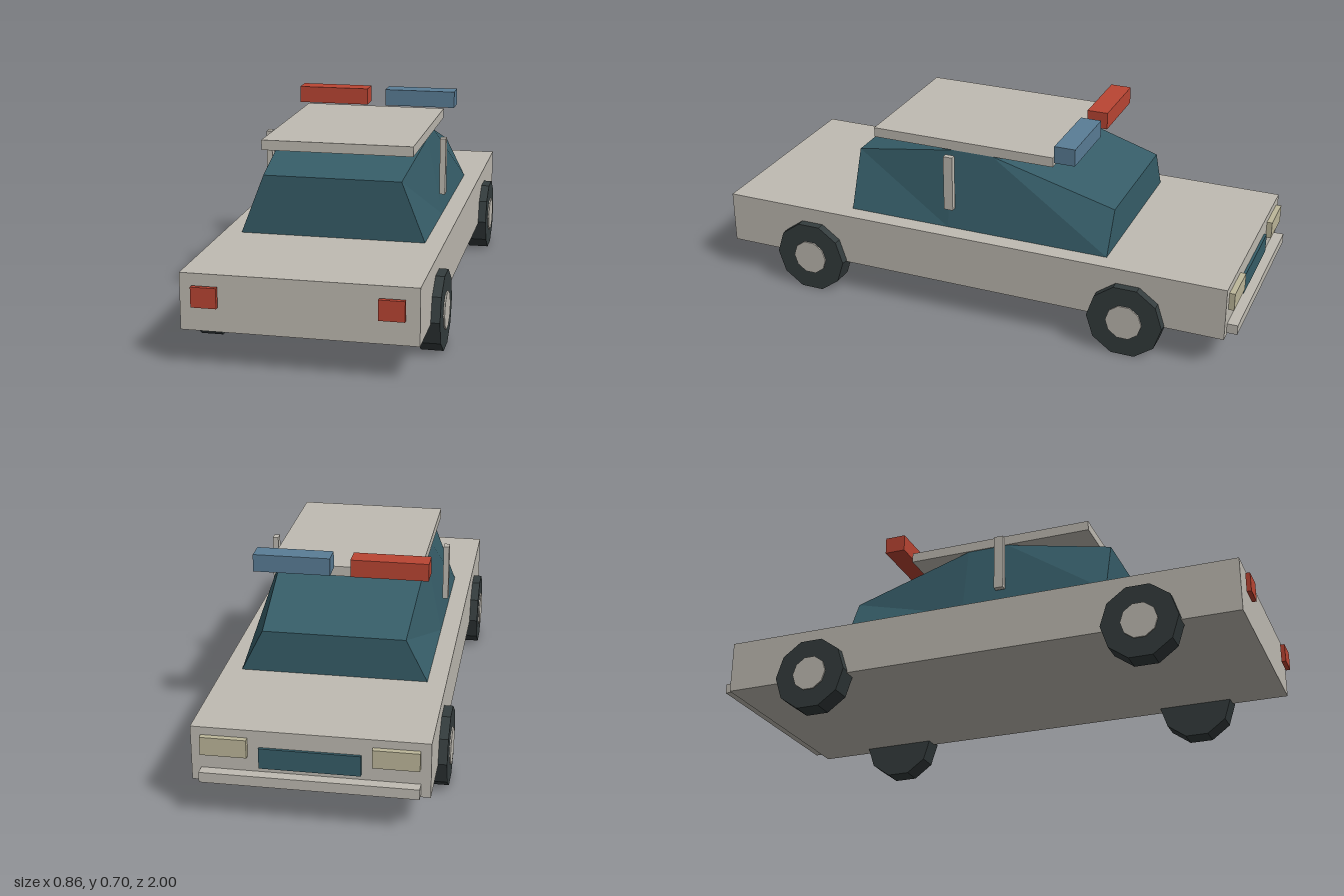
import * as THREE from 'three';

function material(name, color) {
  const m = new THREE.MeshStandardMaterial({ color });
  m.name = name;
  return m;
}

// Loft of four-point sections [z, bottom half width, top half width, top y]
function loftGeometry(sections, baseY) {
  const rings = sections.map(([z, b, t, y]) => [[-b, baseY, z], [-t, y, z], [t, y, z], [b, baseY, z]]);
  const positions = [];
  const quad = (a, b, c, d) => positions.push(...a, ...b, ...c, ...a, ...c, ...d);
  for (let i = 0; i < rings.length - 1; i++) {
    for (let k = 0; k < 4; k++) {
      const n = (k + 1) % 4;
      quad(rings[i][k], rings[i][n], rings[i + 1][n], rings[i + 1][k]);
    }
  }
  const first = rings[0], last = rings[rings.length - 1];
  quad(first[3], first[2], first[1], first[0]);
  quad(last[0], last[1], last[2], last[3]);
  const geometry = new THREE.BufferGeometry();
  geometry.setAttribute('position', new THREE.Float32BufferAttribute(positions, 3));
  geometry.computeVertexNormals();
  return geometry;
}

export function createModel() {
  const car = new THREE.Group();
  car.name = 'patrolCar';

  const paint = material('paint', 0xbfbbb2);
  const glass = material('glass', 0x365d68);
  const rubber = material('rubber', 0x343c3d);
  const red = material('red', 0xba4533);
  const blue = material('blue', 0x5a7d96);
  const lamp = material('lamp', 0xbdb79a);

  const add = (name, geometry, mat, parent = car) => {
    const mesh = new THREE.Mesh(geometry, mat);
    mesh.name = name;
    parent.add(mesh);
    return mesh;
  };
  // Box given by its limits on each axis
  const box = (name, [x0, x1], [y0, y1], [z0, z1], mat) =>
    add(name, new THREE.BoxGeometry(x1 - x0, y1 - y0, z1 - z0), mat)
      .position.set((x0 + x1) / 2, (y0 + y1) / 2, (z0 + z1) / 2);

  // Body, cabin and roof
  box('body', [-0.394, 0.394], [0.125, 0.319], [-0.962, 0.975], paint);
  add('cabin', loftGeometry([
    [0.49, 0.328, 0.245, 0.531],
    [0.1, 0.328, 0.27, 0.602],
    [-0.055, 0.328, 0.27, 0.602],
    [-0.512, 0.328, 0.252, 0.47],
  ], 0.319), glass);
  box('roof', [-0.272, 0.272], [0.603, 0.639], [-0.285, 0.415], paint);

  // Roof light bars
  box('redLightBar', [-0.312, -0.037], [0.639, 0.702], [-0.38, -0.303], red);
  box('blueLightBar', [0.035, 0.31], [0.639, 0.702], [-0.38, -0.303], blue);

  // Grille and bumper
  box('grille', [-0.168, 0.168], [0.188, 0.26], [-0.972, -0.962], glass);
  box('bumper', [-0.362, 0.362], [0.136, 0.172], [-1, -0.962], paint);

  // Paired lamps and door pillars
  for (const side of [-1, 1]) {
    const prefix = side > 0 ? 'left' : 'right';
    const span = (a, b) => (side > 0 ? [a, b] : [-b, -a]);
    box(prefix + 'TailLight', span(0.264, 0.35), [0.211, 0.28], [0.984, 1], red);
    box(prefix + 'Headlight', span(0.205, 0.36), [0.227, 0.291], [-0.982, -0.962], lamp);
    box(prefix + 'Pillar', span(0.318, 0.339), [0.395, 0.604], [0.073, 0.108], paint);
  }

  // Ten-sided wheels with hubs
  const tyreGeometry = new THREE.CylinderGeometry(0.138, 0.138, 0.078, 10).toNonIndexed();
  const hubGeometry = new THREE.CylinderGeometry(0.066, 0.066, 0.045, 10).toNonIndexed();
  for (const g of [tyreGeometry, hubGeometry]) {
    g.rotateZ(Math.PI / 2);
    g.computeVertexNormals();
  }
  for (const side of [-1, 1]) {
    for (const z of [0.63, -0.612]) {
      const wheel = new THREE.Group();
      wheel.name = (side > 0 ? 'left' : 'right') + (z > 0 ? 'Front' : 'Rear') + 'Wheel';
      wheel.position.set(side * 0.386, 0.1315, z);
      add('tyre', tyreGeometry, rubber, wheel);
      add('hub', hubGeometry, paint, wheel).position.x = side * 0.0215;
      car.add(wheel);
    }
  }
  return car;
}
